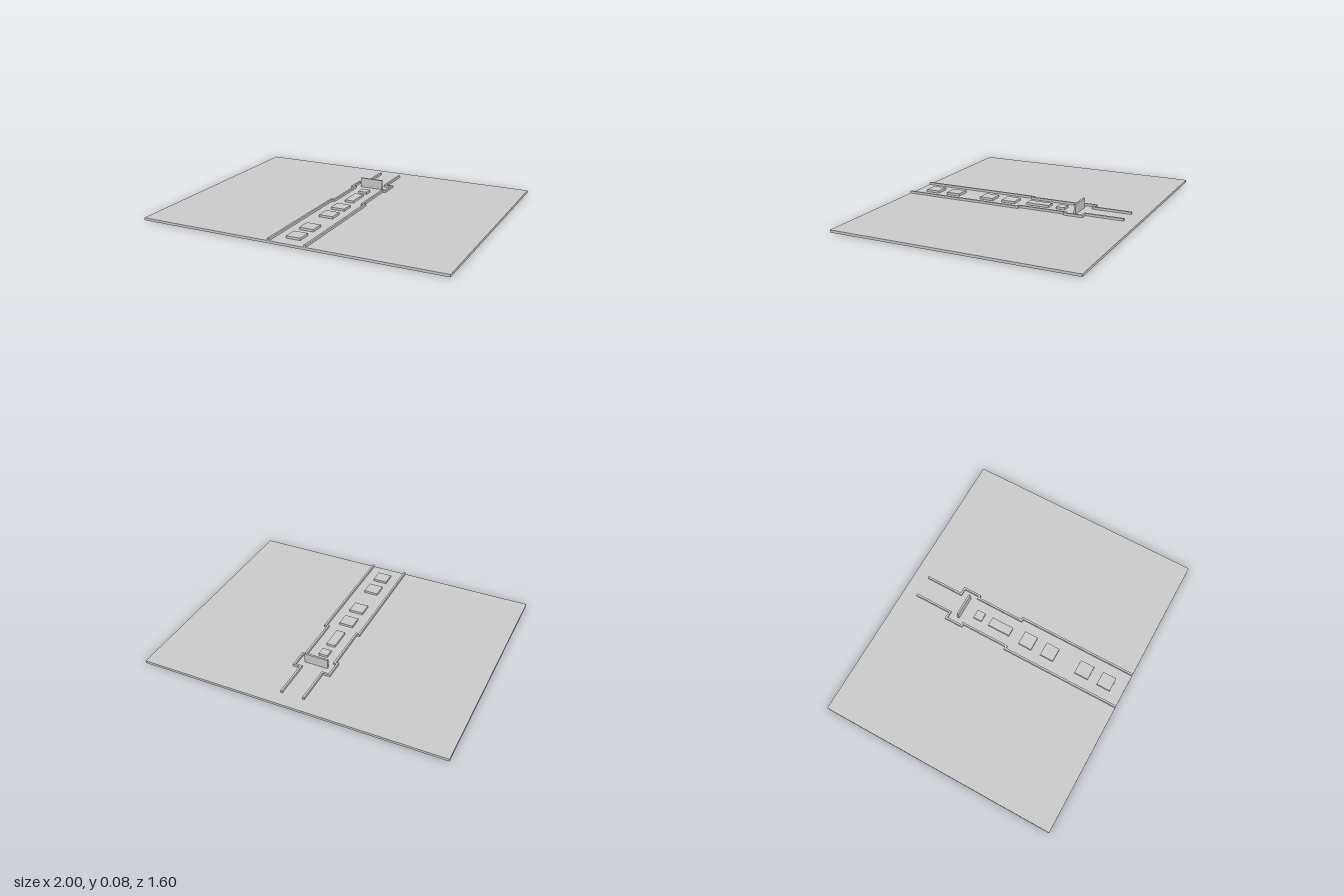
import * as THREE from 'three';

const material = new THREE.MeshStandardMaterial({ color: 0xcccccc, flatShading: true });
const GROUND = 0.016, LOW_TOP = 0.031, AXIS = 0.015;

// Box given by its x, y and z ranges
function block(name, [x0, x1], [y0, y1], [z0, z1]) {
  const mesh = new THREE.Mesh(new THREE.BoxGeometry(x1 - x0, y1 - y0, z1 - z0), material);
  mesh.position.set((x0 + x1) / 2, (y0 + y1) / 2, (z0 + z1) / 2);
  mesh.name = name;
  return mesh;
}

// Stepped low wall: offset a right-angled centre line to both sides and extrude it upward
function wall(name, path, side) {
  const half = 0.0065;
  const normals = path.slice(1).map(([d, z], i) => {
    const dd = Math.sign(d - path[i][0]), dz = Math.sign(z - path[i][1]);
    return [-dz, dd];
  });
  const edge = (s) => path.map(([d, z], i) => {
    const sum = [normals[i - 1], normals[i]].filter(Boolean)
      .reduce((a, n) => [a[0] + n[0], a[1] + n[1]], [0, 0]);
    return new THREE.Vector2(AXIS + side * (d + s * half * sum[0]), -(z + s * half * sum[1]));
  });
  const shape = new THREE.Shape([...edge(1), ...edge(-1).reverse()]);
  const geometry = new THREE.ExtrudeGeometry(shape, { depth: LOW_TOP - GROUND, bevelEnabled: false });
  geometry.rotateX(-Math.PI / 2).translate(0, GROUND, 0);
  const mesh = new THREE.Mesh(geometry, material);
  mesh.name = name;
  return mesh;
}

export function createModel() {
  const model = new THREE.Group();
  model.name = 'groundPlan';

  model.add(block('groundSlab', [-1, 1], [0, GROUND], [-0.8, 0.8]));

  // Mirrored corridor walls: distance from the axis, z
  const path = [
    [0.121, 0.8], [0.121, -0.006], [0.102, -0.006], [0.102, -0.333],
    [0.121, -0.333], [0.121, -0.449], [0.073, -0.449], [0.073, -0.705],
  ];
  model.add(wall('leftWall', path, 1), wall('rightWall', path, -1));

  // Upright screen across the corridor
  model.add(block('screen', [-0.064, 0.093], [GROUND, 0.08], [-0.39, -0.377]));

  // Row of low plinths: half width, z range
  const plinths = [
    [0.03, -0.294, -0.235], [0.03, -0.182, -0.027], [0.047, 0.053, 0.146],
    [0.047, 0.214, 0.307], [0.047, 0.465, 0.561], [0.047, 0.626, 0.719],
  ];
  plinths.forEach(([w, z0, z1], i) => {
    const x = i < 2 ? 0.0135 : AXIS;
    model.add(block(`plinth${i + 1}`, [x - w, x + w], [GROUND, LOW_TOP], [z0, z1]));
  });

  return model;
}
